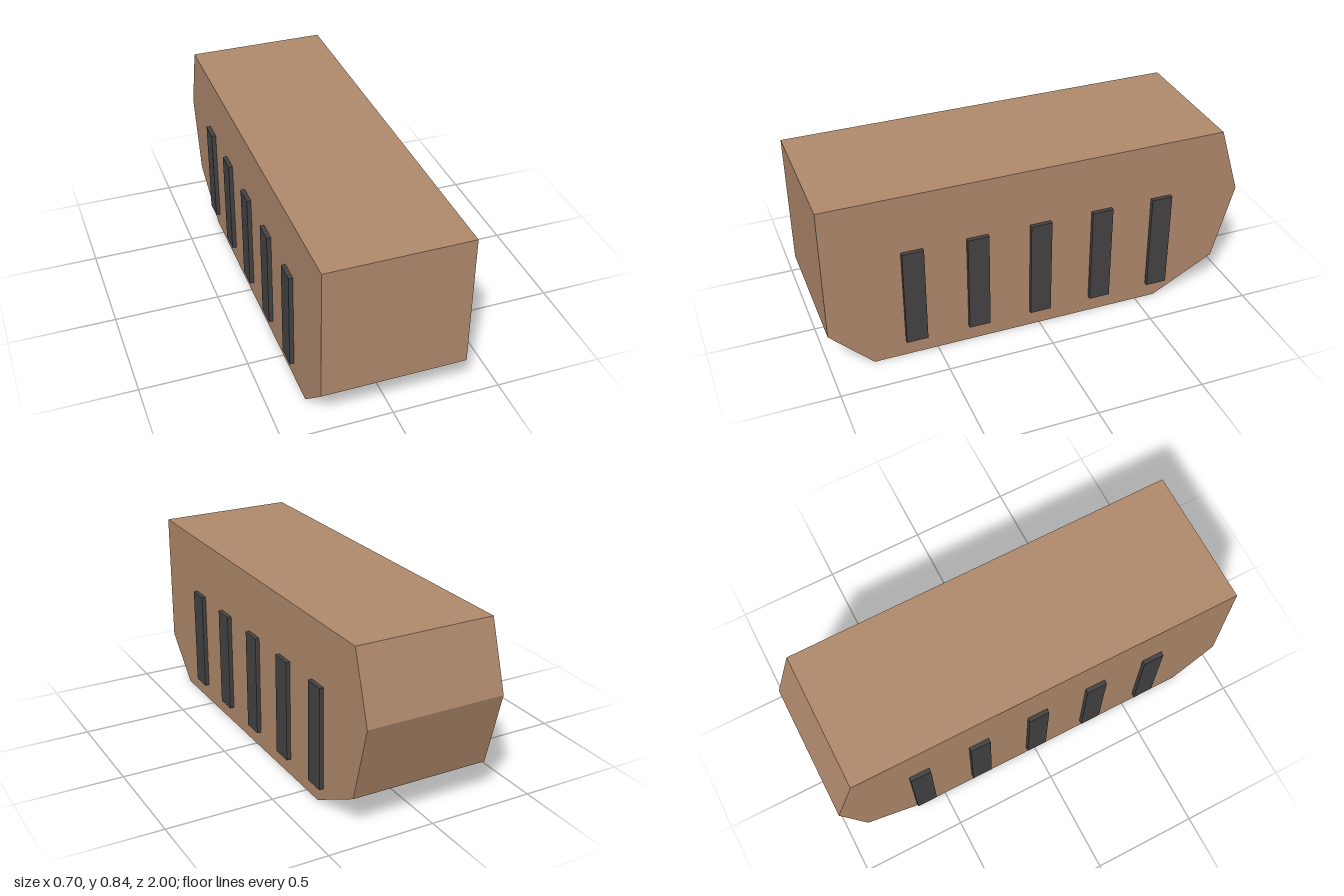
import * as THREE from 'three';

export function createModel() {
  const group = new THREE.Group();
  const tan = new THREE.MeshStandardMaterial({ color: 0xb0896c });
  tan.name = 'tan';
  const charcoal = new THREE.MeshStandardMaterial({ color: 0x444242 });
  charcoal.name = 'charcoal';

  // Body: side profile as [z, y], extruded across the width
  const width = 0.66;
  const profile = [
    [1, 0.84], [1, 0.2], [0.8, 0], [-0.6, 0],
    [-0.9, 0.16], [-1, 0.52], [-0.9, 0.84],
  ];
  const shape = new THREE.Shape(profile.map(([z, y]) => new THREE.Vector2(-z, y)));
  const bodyGeometry = new THREE.ExtrudeGeometry(shape, { depth: width, bevelEnabled: false });
  bodyGeometry.translate(0, 0, -width / 2).rotateY(Math.PI / 2);
  const body = new THREE.Mesh(bodyGeometry, tan);
  body.name = 'body';
  group.add(body);

  // Side slats: five upright bars on each flank, slightly proud of the body
  const slatGeometry = new THREE.BoxGeometry(0.04, 0.48, 0.1);
  for (const side of [1, -1]) {
    for (let i = 0; i < 5; i++) {
      const slat = new THREE.Mesh(slatGeometry, charcoal);
      slat.name = `${side > 0 ? 'left' : 'right'}Slat${i + 1}`;
      slat.position.set(side * 0.33, 0.32, 0.6 - i * 0.3);
      group.add(slat);
    }
  }

  return group;
}
